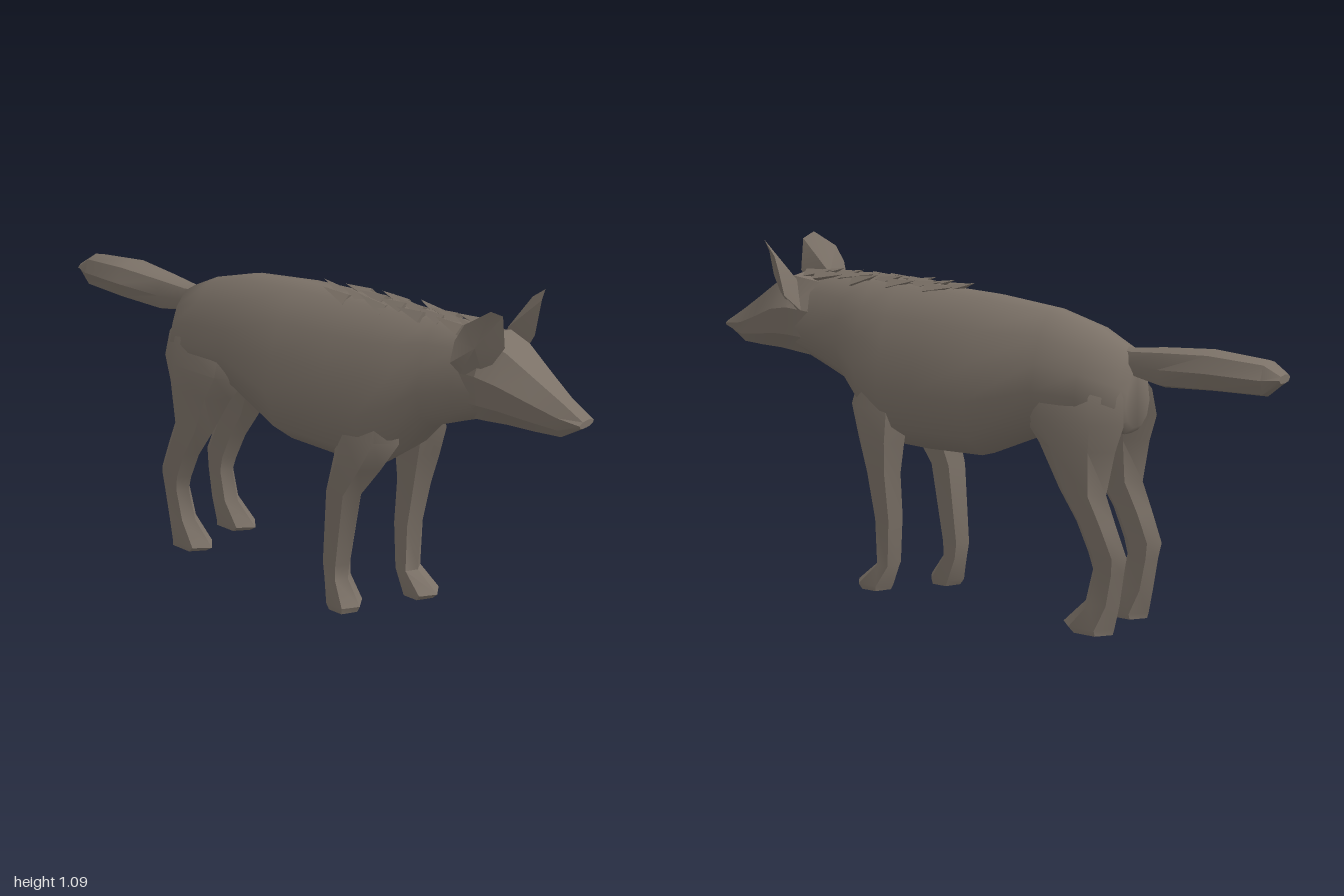
import * as THREE from 'three';
import { toCreasedNormals } from 'three/addons/utils/BufferGeometryUtils.js';

const fur = new THREE.MeshStandardMaterial({ color: 0x7b7167 });
fur.name = 'greyBrownFur';

// Skin a list of equal rings and close both ends
function loft(rings, crease) {
  const n = rings[0].length, pos = [], index = [];
  rings.forEach(r => r.forEach(p => pos.push(...p)));
  for (let i = 0; i < rings.length - 1; i++) {
    for (let j = 0; j < n; j++) {
      const a = i * n + j, b = i * n + (j + 1) % n;
      index.push(a, b, a + n, b, b + n, a + n);
    }
  }
  const last = (rings.length - 1) * n;
  for (let j = 1; j < n - 1; j++) {
    index.push(0, j + 1, j, last, last + j, last + j + 1);
  }
  const g = new THREE.BufferGeometry();
  g.setAttribute('position', new THREE.Float32BufferAttribute(pos, 3));
  g.setIndex(index);
  return toCreasedNormals(g, crease);
}

// Cross-section halves: [width factor, height factor], from top to bottom
const TORSO = [[0, 1], [0.3, 0.975], [0.68, 0.8], [0.88, 0.6], [1, 0.38], [0.8, 0.14], [0.36, 0.01], [0, 0]];
const SKULL = [[0, 1], [0.55, 0.97], [1, 0.6], [0.88, 0.25], [0.42, 0.01], [0, 0]];
const ROUND = [[0, 1], [0.7, 0.9], [1, 0.5], [0.7, 0.1], [0, 0]];

// Loft along x; sections are [x, bottom, top, half width]
function alongX(sections, half, crease) {
  const ring = half.concat(half.slice(1, -1).reverse().map(([w, h]) => [-w, h]));
  return loft(sections.map(([x, y0, y1, hw]) =>
    ring.map(([w, h]) => [x, y0 + (y1 - y0) * h, hw * w])), crease);
}

// Loft down a leg; sections are [y, rear x, front x, z centre, half width]
function leg(sections, side) {
  return loft(sections.map(([y, x0, x1, z, hw]) => {
    const ring = [];
    for (let k = 0; k < 6; k++) {
      const a = k * Math.PI / 3;
      ring.push([(x0 + x1) / 2 + Math.cos(a) * (x1 - x0) / 2, y, side * z + Math.sin(a) * hw / 0.866]);
    }
    return ring;
  }), 0.7);
}

// Cupped ear facing forward and outward: a rim closed by a back fan and a sunken front fan
function ear(side) {
  const rim = [
    [0.705, 0.88, 0.085], [0.765, 0.975, 0.07], [0.77, 1.075, 0.09], [0.755, 1.095, 0.127],
    [0.69, 1.05, 0.158], [0.665, 1.0, 0.168], [0.648, 0.93, 0.165], [0.635, 0.875, 0.10],
  ];
  const back = [0.66, 0.97, 0.085], front = [0.695, 0.97, 0.115];
  const pos = [];
  const tri = (a, b, c) => (side > 0 ? [a, b, c] : [a, c, b])
    .forEach(p => pos.push(p[0], p[1], p[2] * side));
  rim.forEach((p, i) => {
    const q = rim[(i + 1) % rim.length];
    tri(front, p, q);
    tri(back, q, p);
  });
  const g = new THREE.BufferGeometry();
  g.setAttribute('position', new THREE.Float32BufferAttribute(pos, 3));
  return toCreasedNormals(g, 0.4);
}

export function createModel() {
  const model = new THREE.Group();
  model.name = 'wildDog';
  const add = (geometry, name, parent = model) => {
    const mesh = new THREE.Mesh(geometry, fur);
    mesh.name = name;
    parent.add(mesh);
    return mesh;
  };

  // Torso and neck
  add(alongX([
    [-0.53, 0.62, 0.80, 0.07], [-0.51, 0.60, 0.85, 0.105], [-0.40, 0.60, 0.905, 0.147],
    [-0.25, 0.575, 0.95, 0.147], [-0.03, 0.48, 0.975, 0.186], [0.17, 0.475, 0.985, 0.172],
    [0.30, 0.48, 0.99, 0.165], [0.40, 0.555, 0.99, 0.148], [0.49, 0.655, 0.99, 0.115],
    [0.60, 0.70, 0.99, 0.098], [0.70, 0.74, 0.97, 0.09],
  ], TORSO, 0.9), 'body');

  // Head with tapering muzzle and blunt nose
  add(alongX([
    [0.60, 0.715, 0.97, 0.08], [0.69, 0.728, 0.985, 0.108], [0.76, 0.735, 0.96, 0.10],
    [0.85, 0.735, 0.90, 0.07], [0.93, 0.738, 0.848, 0.045], [1.0, 0.782, 0.803, 0.034],
  ], SKULL, 0.45), 'head');

  // Bushy tail
  add(alongX([
    [-1.0, 0.80, 0.825, 0.035], [-0.95, 0.757, 0.862, 0.052], [-0.78, 0.755, 0.876, 0.072],
    [-0.62, 0.748, 0.866, 0.052], [-0.52, 0.77, 0.855, 0.038], [-0.44, 0.78, 0.86, 0.03],
  ], ROUND, 0.7), 'tail');

  // Legs: the hind pair matches, the front pair is in mid-stride
  const hind = [
    [0.80, -0.48, -0.25, 0.06, 0.03], [0.72, -0.53, -0.19, 0.085, 0.045],
    [0.64, -0.54, -0.19, 0.098, 0.05],
    [0.56, -0.515, -0.255, 0.102, 0.047], [0.43, -0.49, -0.33, 0.108, 0.04],
    [0.34, -0.525, -0.39, 0.108, 0.035], [0.25, -0.56, -0.43, 0.105, 0.032],
    [0.20, -0.55, -0.445, 0.102, 0.03], [0.10, -0.535, -0.42, 0.10, 0.032],
    [0.025, -0.52, -0.345, 0.103, 0.045], [0.008, -0.515, -0.37, 0.103, 0.043],
  ];
  const rearStep = [
    [0.76, 0.20, 0.38, 0.075, 0.035], [0.60, 0.185, 0.42, 0.10, 0.047],
    [0.50, 0.175, 0.355, 0.106, 0.048], [0.40, 0.15, 0.28, 0.105, 0.045],
    [0.15, 0.13, 0.23, 0.097, 0.036], [0.10, 0.14, 0.225, 0.097, 0.036],
    [0.025, 0.155, 0.28, 0.105, 0.048], [0.005, 0.17, 0.27, 0.105, 0.045],
  ];
  const frontStep = [
    [0.76, 0.22, 0.40, 0.075, 0.035], [0.60, 0.22, 0.44, 0.098, 0.047],
    [0.50, 0.235, 0.41, 0.105, 0.047], [0.40, 0.25, 0.38, 0.105, 0.042],
    [0.25, 0.25, 0.352, 0.098, 0.038], [0.10, 0.265, 0.345, 0.094, 0.036],
    [0.035, 0.285, 0.418, 0.10, 0.048], [0.018, 0.295, 0.40, 0.10, 0.045],
  ];
  add(leg(rearStep, 1), 'rightFrontLeg');
  add(leg(frontStep, -1), 'leftFrontLeg');
  for (const side of [1, -1]) {
    const name = side > 0 ? 'right' : 'left';
    add(leg(hind, side), name + 'HindLeg');
    add(ear(side), name + 'Ear');
  }

  // Mane: staggered, backswept tufts along the spine
  const mane = new THREE.Group();
  mane.name = 'mane';
  model.add(mane);
  const tuft = new THREE.ConeGeometry(0.03, 0.1, 4).toNonIndexed();
  tuft.computeVertexNormals();
  for (let i = 0; i < 20; i++) {
    const t = add(tuft, 'maneTuft', mane);
    const z = [0, 0.035, -0.035, 0.015, -0.015][i % 5];
    t.position.set(0.09 + i * 0.028, 0.983 + 0.008 * Math.min(1, i / 8) - Math.abs(z) * 0.15, z);
    t.rotation.set(z * 5, 0, 1.35 + 0.1 * (i % 3 - 1));
    t.scale.set(0.65, 1, 1);
  }
  return model;
}
